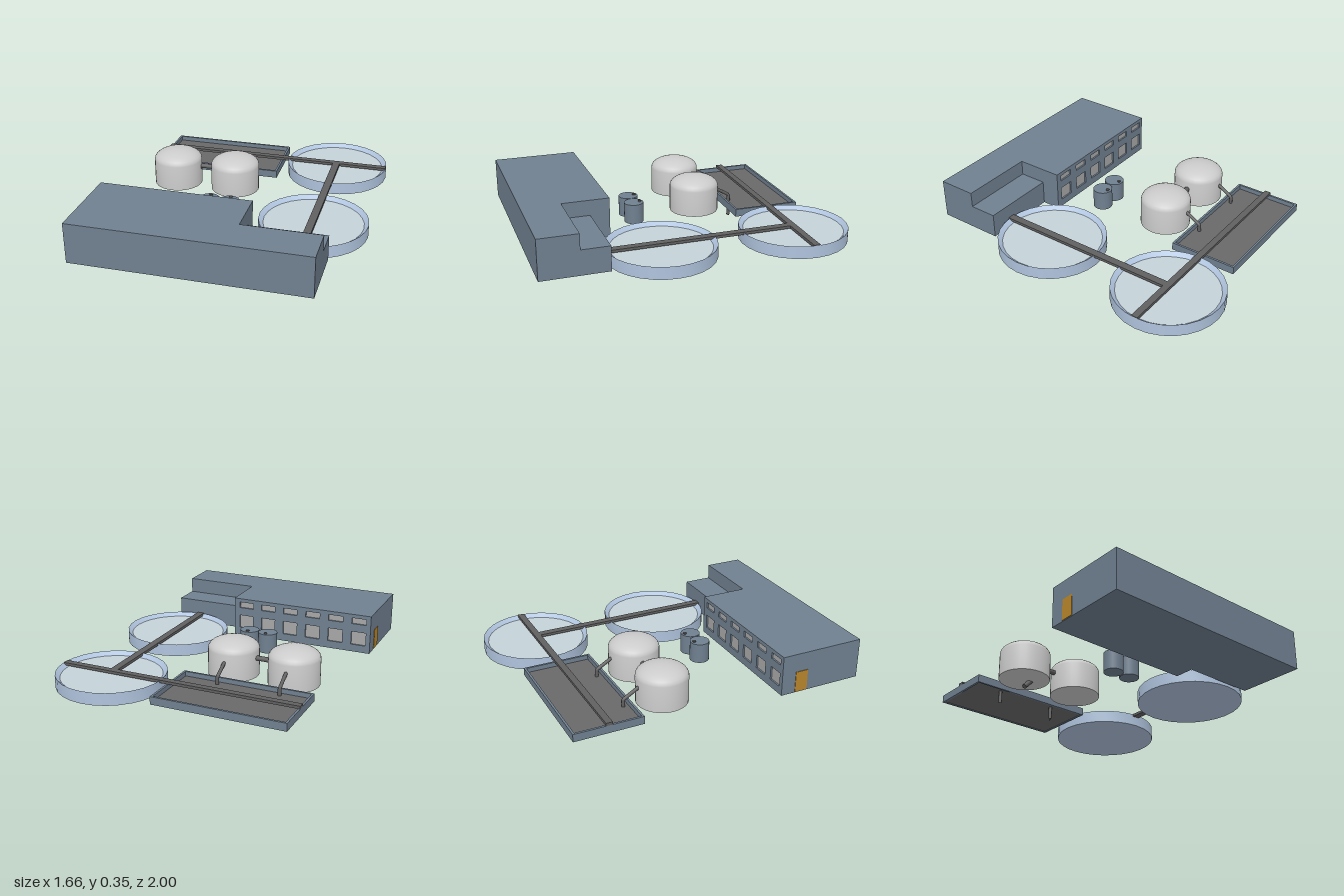
import * as THREE from 'three';
import { toCreasedNormals } from 'three/addons/utils/BufferGeometryUtils.js';

const mat = (color) => new THREE.MeshStandardMaterial({ color });

export function createModel() {
  const root = new THREE.Group();
  const slate = mat(0x708090), paleBlue = mat(0xb0c4de), water = mat(0xc4d2d8);
  const dark = mat(0x606060), floorGrey = mat(0x696969), grey = mat(0xcccccc);
  const glass = mat(0xa8a8a8), doorMat = mat(0xb8862b);

  const add = (name, geo, material, parent = root) => {
    const mesh = new THREE.Mesh(geo, material);
    mesh.name = name;
    parent.add(mesh);
    return mesh;
  };
  const group = (name) => {
    const g = new THREE.Group();
    g.name = name;
    root.add(g);
    return g;
  };
  // box given by its extents
  const box = (name, x0, x1, y0, y1, z0, z1, material, parent) => {
    const geo = new THREE.BoxGeometry(x1 - x0, y1 - y0, z1 - z0);
    geo.translate((x0 + x1) / 2, (y0 + y1) / 2, (z0 + z1) / 2);
    return add(name, geo, material, parent);
  };
  const rect = (P, a, b, c, d) => {
    const p = new P();
    p.moveTo(a, c).lineTo(b, c).lineTo(b, d).lineTo(a, d).closePath();
    return p;
  };
  const extrude = (shape, depth) => new THREE.ExtrudeGeometry(shape, { depth, bevelEnabled: false });
  const lathe = (pts, seg) => toCreasedNormals(
    new THREE.LatheGeometry(pts.map(([x, y]) => new THREE.Vector2(x, y)), seg), 0.5);
  // bent pipe with straight runs
  const pipe = (name, pts, r, parent) => {
    const path = new THREE.CurvePath();
    const v = pts.map((p) => new THREE.Vector3(...p));
    for (let i = 1; i < v.length; i++) path.add(new THREE.LineCurve3(v[i - 1], v[i]));
    add(name, new THREE.TubeGeometry(path, 32, r, 12), dark, parent);
    // end caps
    [[v[0], v[1]], [v[v.length - 1], v[v.length - 2]]].forEach(([end, next]) => {
      const cap = add(name + 'Cap', new THREE.CircleGeometry(r, 12), dark, parent);
      cap.position.copy(end);
      cap.lookAt(end.clone().multiplyScalar(2).sub(next));
    });
  };

  // Main building with a windowed rear wall
  const building = group('building');
  box('mainHall', -0.83, 0.15, 0.08, 0.34, 0.46, 1, slate, building);
  const wall = rect(THREE.Shape, -0.83, 0.15, 0.08, 0.34);
  for (let i = 0; i < 6; i++) {
    const x = 0.06 - i * 0.162;
    for (const [y0, y1] of [[0.13, 0.22], [0.275, 0.315]]) {
      wall.holes.push(rect(THREE.Path, x - 0.05, x + 0.05, y0, y1));
      box('windowPane', x - 0.05, x + 0.05, y0, y1, 0.456, 0.462, glass, building);
    }
  }
  add('rearWall', extrude(wall, 0.015).translate(0, 0, 0.445), slate, building);
  box('door', -0.833, -0.82, 0.085, 0.22, 0.54, 0.625, doorMat, building);

  // Stepped side wing, drawn in (-z, y) and extruded along x
  const step = new THREE.Shape();
  step.moveTo(-1, 0.08).lineTo(-0.57, 0.08).lineTo(-0.57, 0.24).lineTo(-0.75, 0.24)
    .lineTo(-0.75, 0.34).lineTo(-1, 0.34).closePath();
  add('sideWing', extrude(step, 0.49).rotateY(Math.PI / 2).translate(0.15, 0, 0), slate, building);

  // Round settling tanks with sloped inner rims
  for (const z of [-0.655, 0.22]) {
    const tank = group('settlingTank');
    tank.position.set(0.483, 0, z);
    add('tankShell', lathe([[0, 0.065], [0.345, 0.065], [0.345, 0.145], [0.315, 0.12], [0, 0.118]], 28),
      paleBlue, tank);
    add('waterSurface', new THREE.CircleGeometry(0.316, 28).rotateX(-Math.PI / 2).translate(0, 0.121, 0),
      water, tank);
  }

  // Rectangular basin
  const basin = group('basin');
  const rim = rect(THREE.Shape, -0.755, 0.095, 0.43, 0.87);
  rim.holes.push(rect(THREE.Path, -0.741, 0.081, 0.444, 0.856));
  add('basinWalls', extrude(rim, 0.05).rotateX(-Math.PI / 2).translate(0, 0.08, 0), slate, basin);
  box('basinFloor', -0.742, 0.082, 0.084, 0.1, -0.857, -0.443, floorGrey, basin);

  // Walkways over basin and tanks
  box('longWalkway', -0.755, 0.825, 0.13, 0.148, -0.67, -0.628, dark);
  box('crossWalkway', 0.455, 0.503, 0.13, 0.148, -0.628, 0.572, dark);

  // Domed tanks, each with an outlet pipe down through the basin
  const dome = [[0, 0.08], [0.162, 0.08], [0.162, 0.25]];
  for (let i = 1; i <= 8; i++) {
    const a = (i / 8) * Math.PI / 2;
    dome.push([i === 8 ? 0 : 0.162 * Math.cos(a), 0.25 + 0.072 * Math.sin(a)]);
  }
  for (const x of [-0.549, -0.145]) {
    const g = group('domedTank');
    g.position.set(x, 0, -0.22);
    add('domedShell', lathe(dome, 32), grey, g);
    pipe('outletPipe', [[-0.006, 0.225, -0.12], [-0.006, 0.145, -0.257], [-0.006, 0, -0.257]], 0.011, g);
  }
  pipe('linkPipe', [[-0.2, 0.207, -0.232], [-0.385, 0.207, -0.232], [-0.545, 0.035, -0.222]], 0.016);

  // Small tanks with a vent on top
  for (const x of [-0.19, -0.06]) {
    const g = group('smallTank');
    g.position.set(x, 0, 0.228);
    add('smallShell', new THREE.CylinderGeometry(0.063, 0.063, 0.13, 24).translate(0, 0.145, 0), slate, g);
    add('vent', new THREE.CylinderGeometry(0.011, 0.011, 0.02, 12).translate(0, 0.208, -0.04), dark, g);
  }
  return root;
}
